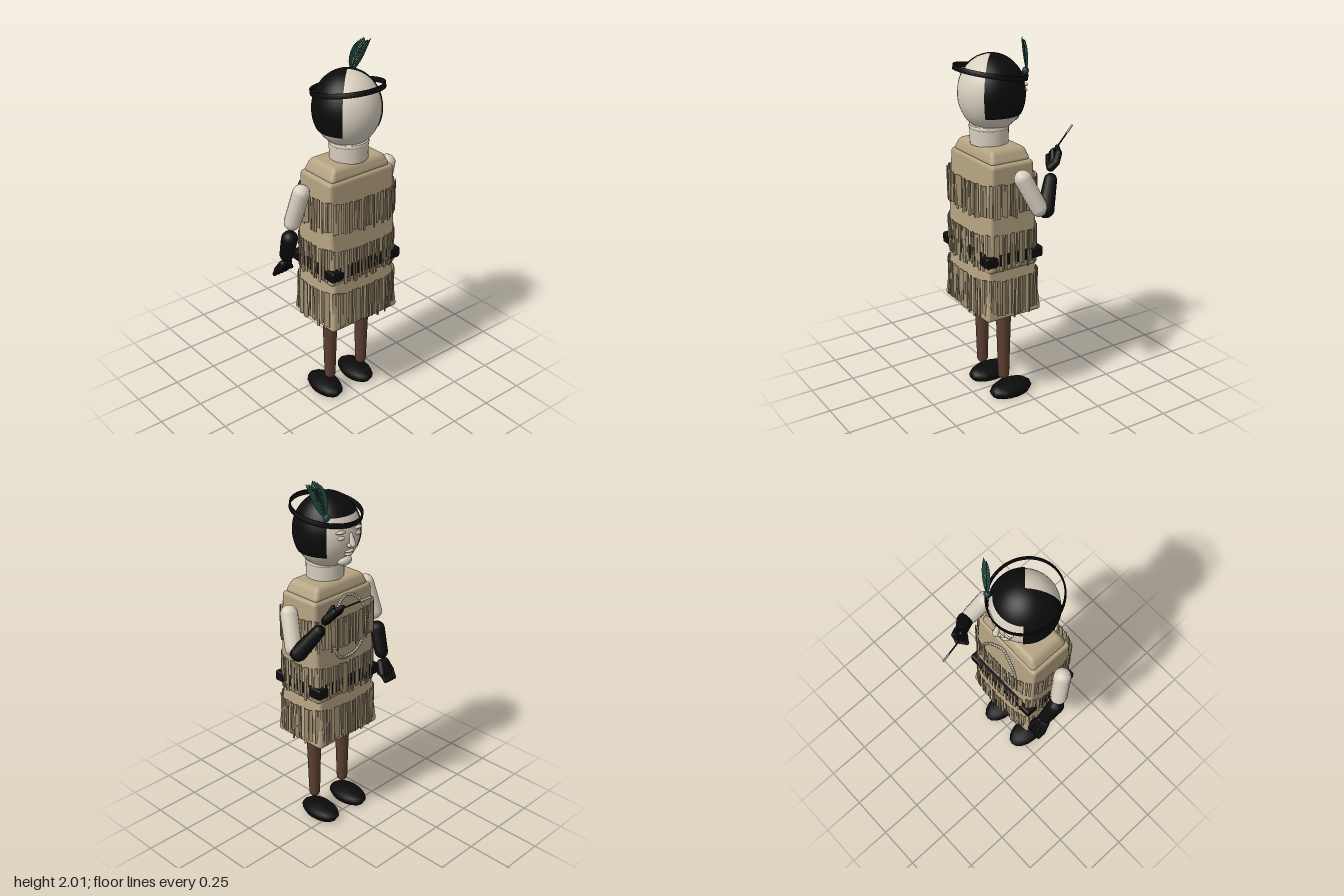
import * as THREE from 'three';
import { mergeGeometries } from 'three/addons/utils/BufferGeometryUtils.js';
import { RoundedBoxGeometry } from 'three/addons/geometries/RoundedBoxGeometry.js';

const V = (x, y, z) => new THREE.Vector3(x, y, z);
const UP = V(0, 1, 0);
const CZ = 0.115; // depth of the body's axis

function makeMaterial(name, color, extra = {}) {
  const m = new THREE.MeshStandardMaterial({ color, ...extra });
  m.name = name;
  return m;
}

function seeded(seed) {
  return () => (seed = (seed * 16807) % 2147483647) / 2147483647;
}

// Rounded box whose half widths change from bottom to top
function taperedBox(y0, y1, bottom, top, radius) {
  const h = y1 - y0;
  const g = new RoundedBoxGeometry(2 * bottom[0], h, 2 * bottom[1], 3, radius);
  const p = g.attributes.position;
  for (let i = 0; i < p.count; i++) {
    const t = p.getY(i) / h + 0.5;
    p.setX(i, p.getX(i) * THREE.MathUtils.lerp(1, top[0] / bottom[0], t));
    p.setZ(i, p.getZ(i) * THREE.MathUtils.lerp(1, top[1] / bottom[1], t));
  }
  g.computeVertexNormals();
  return g.translate(0, y0 + h / 2, CZ);
}

// Round-ended tapered limb from a to b
function limb(a, b, ra, rb, sides = 14) {
  const len = a.distanceTo(b), pts = [];
  for (let i = 0; i <= 5; i++) {
    const t = (i / 5) * Math.PI / 2;
    pts.push(new THREE.Vector2(ra * Math.sin(t), -ra * Math.cos(t)));
  }
  for (let i = 0; i <= 5; i++) {
    const t = (i / 5) * Math.PI / 2;
    pts.push(new THREE.Vector2(rb * Math.cos(t), len + rb * Math.sin(t)));
  }
  const g = new THREE.LatheGeometry(pts, sides);
  g.applyQuaternion(new THREE.Quaternion().setFromUnitVectors(UP, b.clone().sub(a).normalize()));
  return g.translate(a.x, a.y, a.z);
}

const ellipsoid = (c, r, n = 16) =>
  new THREE.SphereGeometry(1, n, n * 0.75).scale(...r).translate(...c);

// Palm, four fingers and a thumb; across is the direction over the knuckles
function handGeometry(wrist, knuckles, tip, across, thumb) {
  const parts = [];
  for (let i = 0; i < 4; i++) {
    const off = across.clone().multiplyScalar((i - 1.5) * 0.023);
    const k = knuckles.clone().add(off);
    parts.push(limb(wrist.clone().addScaledVector(off, 0.5), k, 0.022, 0.019, 8));
    parts.push(limb(k, tip.clone().add(off), 0.016, 0.012, 8));
  }
  parts.push(limb(wrist, thumb, 0.017, 0.013, 8));
  return mergeGeometries(parts);
}

// Hanging strips round a rounded-square outline
function fringeGeometry(top, bottom, hx, hz, seed) {
  const rnd = seeded(seed), strips = [], n = 68;
  const outline = (a) => {
    const c = Math.cos(a), s = Math.sin(a), e = 2 / 3.5;
    return V(Math.sign(c) * Math.abs(c) ** e * hx, 0, Math.sign(s) * Math.abs(s) ** e * hz);
  };
  // Even spacing along the outline
  const curve = new THREE.CatmullRomCurve3(
    Array.from({ length: 64 }, (_, i) => outline(((i + 0.5) / 64) * Math.PI * 2)), true);
  for (let i = 0; i < n; i++) {
    const u = (i + rnd() * 0.5) / n;
    const p = curve.getPointAt(u), t = curve.getTangentAt(u);
    const len = (top - bottom) * (0.84 + rnd() * 0.16);
    const g = new THREE.BoxGeometry(0.01 + rnd() * 0.009, len, 0.004);
    g.rotateX((rnd() - 0.5) * 0.05);
    g.rotateY(Math.atan2(-t.z, t.x) + (rnd() - 0.5) * 0.6);
    strips.push(g.translate(p.x, top - len / 2 - rnd() * 0.008, p.z + CZ));
  }
  return mergeGeometries(strips);
}

// Swept barbs on both sides of a quill
function featherGeometry(curve, across) {
  const pos = [], n = 22;
  for (const side of [-1, 1]) for (let i = 0; i < n; i++) {
    const t = 0.1 + 0.84 * (i / n);
    const w = 0.042 * Math.sin(Math.PI * Math.min(1, t * 0.97)) ** 0.7;
    const a = curve.getPoint(t), b = curve.getPoint(t + 0.028);
    const d = across.clone().multiplyScalar(side * w).add(V(0.006, 0.02, 0.003));
    const c = a.clone().add(d), e = b.clone().add(d).add(V(0.001, 0.004, 0.001));
    for (const v of [a, c, e, a, e, b]) pos.push(v.x, v.y, v.z);
  }
  const g = new THREE.BufferGeometry();
  g.setAttribute('position', new THREE.Float32BufferAttribute(pos, 3));
  g.computeVertexNormals();
  return g;
}

export function createModel() {
  const group = new THREE.Group();
  const skin = makeMaterial('pale skin', 0xd8cfbf);
  const black = makeMaterial('black', 0x0b0b0b, { side: THREE.DoubleSide });
  const tan = makeMaterial('tan dress', 0xb5a382);
  const fringeTan = makeMaterial('fringe tan', 0x9c8d70);
  const brown = makeMaterial('brown legs', 0x5c3e32);
  const teal = makeMaterial('teal feather', 0x1b473f, { side: THREE.DoubleSide });
  const bead = makeMaterial('grey beads', 0xb3afa5);
  const add = (name, geometry, material) => {
    const m = new THREE.Mesh(geometry, material);
    m.name = name;
    group.add(m);
    return m;
  };
  const rad = THREE.MathUtils.degToRad;

  // Dress
  add('skirt', taperedBox(0.53, 0.88, [0.228, 0.17], [0.195, 0.138], 0.02), tan);
  add('torso', taperedBox(0.8, 1.38, [0.218, 0.15], [0.21, 0.125], 0.02), tan);
  add('collar', taperedBox(1.37, 1.445, [0.2, 0.122], [0.165, 0.1], 0.025), tan);
  add('belt', taperedBox(0.84, 0.9, [0.232, 0.174], [0.232, 0.174], 0.012), black);
  add('chestFringe', fringeGeometry(1.29, 1.1, 0.24, 0.187, 11), fringeTan);
  add('waistFringe', fringeGeometry(1.02, 0.815, 0.24, 0.187, 57), fringeTan);
  add('hemFringe', fringeGeometry(0.77, 0.545, 0.25, 0.19, 93), fringeTan);

  // Bead necklace on the chest
  const beads = [];
  for (let i = 0; i < 64; i++) {
    const a = (i / 64) * Math.PI * 2, y = 1.195 + 0.18 * Math.sin(a);
    beads.push(new THREE.SphereGeometry(0.009, 8, 6)
      .translate(0.125 * Math.cos(a), y, -0.028 - 0.025 * Math.abs(Math.cos(a))));
  }
  add('necklace', mergeGeometries(beads), bead);

  // Legs and shoes
  for (const s of [-1, 1]) {
    const side = s < 0 ? 'right' : 'left';
    add(side + 'Leg', limb(V(s * 0.112, 0.132, CZ), V(s * 0.112, 0.56, CZ), 0.031, 0.043, 18), brown);
    const shoe = new THREE.LatheGeometry([[0, 0], [0.87, 0], [1, 0.025], [0.93, 0.045],
      [0.72, 0.065], [0, 0.07]].map(([x, y]) => new THREE.Vector2(x, y)), 16);
    add(side + 'Shoe', shoe.scale(0.077, 1, 0.13).translate(s * 0.112, 0, 0.068), black);
  }

  // Neck and head
  add('neck', new THREE.CylinderGeometry(0.102, 0.1, 0.1, 32).translate(0, 1.49, 0.128), skin);
  add('neckRing', new THREE.TorusGeometry(0.09, 0.015, 10, 32)
    .rotateX(Math.PI / 2).translate(0, 1.53, 0.128), skin);
  add('head', ellipsoid([0, 1.7, 0.113], [0.174, 0.198, 0.174], 40), skin);
  add('nose', mergeGeometries([
    limb(V(0, 1.715, -0.058), V(0, 1.665, -0.073), 0.01, 0.017),
    ellipsoid([0.014, 1.66, -0.063], [0.012, 0.011, 0.014], 10),
    ellipsoid([-0.014, 1.66, -0.063], [0.012, 0.011, 0.014], 10)]), skin);
  add('lips', mergeGeometries([
    ellipsoid([0, 1.623, -0.047], [0.033, 0.009, 0.014], 12),
    ellipsoid([0, 1.606, -0.041], [0.028, 0.01, 0.016], 12)]), skin);
  add('chin', ellipsoid([0, 1.565, -0.012], [0.045, 0.03, 0.035]), skin);
  for (const s of [-1, 1]) {
    add('brow', ellipsoid([s * 0.058, 1.735, -0.046], [0.035, 0.009, 0.014], 12), skin);
    add('eyelid', ellipsoid([s * 0.058, 1.705, -0.048], [0.024, 0.012, 0.012], 12), skin);
  }

  // Hair: a crown open at the back, and a panel down each side
  const hair = (phi, phiLen, theta, thetaLen) => new THREE.SphereGeometry(1, 32, 14,
    rad(90 + phi), rad(phiLen), rad(theta), rad(thetaLen)).scale(0.179, 0.202, 0.179).translate(0, 1.7, 0.113);
  add('hairCrown', hair(47, 266, 0, 58), black);
  add('hairLeft', hair(47, 88, 57, 63), black);
  add('hairRight', hair(225, 88, 57, 63), black);

  // Tilted headband with a feather
  const ring = new THREE.LatheGeometry([[0.178, -0.013], [0.186, -0.013], [0.186, 0.013],
    [0.178, 0.013], [0.178, -0.013]].map(([x, y]) => new THREE.Vector2(x, y)), 48);
  add('headband', ring.scale(1, 1, 1.05).rotateX(-0.19).translate(0, 1.808, 0.117), black);
  const quill = new THREE.CatmullRomCurve3([V(0.125, 1.8, -0.015), V(0.137, 1.87, -0.002),
    V(0.157, 1.94, 0.018), V(0.187, 1.992, 0.045)]);
  add('featherQuill', new THREE.TubeGeometry(quill, 12, 0.003, 6), teal);
  add('featherBarbs', featherGeometry(quill, V(0.93, -0.3, 0.2).normalize()), teal);
  add('featherKnot', ellipsoid([0.124, 1.82, -0.012], [0.017, 0.02, 0.017], 12), teal);

  // Lowered arm
  add('rightUpperArm', limb(V(-0.292, 1.315, 0.11), V(-0.32, 1.145, 0.07), 0.046, 0.045, 12), skin);
  add('rightForearm', limb(V(-0.325, 1.04, 0.05), V(-0.31, 0.92, 0), 0.045, 0.038, 12), black);
  add('rightHand', handGeometry(V(-0.307, 0.86, -0.015), V(-0.303, 0.81, -0.05),
    V(-0.303, 0.775, -0.075), V(1, 0, 0), V(-0.262, 0.815, -0.03)), black);

  // Raised arm holding a wand
  add('leftUpperArm', limb(V(0.283, 1.315, 0.105), V(0.323, 1.16, 0.035), 0.047, 0.045, 12), skin);
  add('leftForearm', limb(V(0.325, 1.145, -0.005), V(0.255, 1.27, -0.082), 0.045, 0.034, 12), black);
  add('leftHand', handGeometry(V(0.232, 1.335, -0.112), V(0.205, 1.365, -0.135),
    V(0.165, 1.385, -0.155), V(0.35, 0.7, -0.6).normalize(), V(0.2, 1.4, -0.13)), black);
  const grip = V(0.182, 1.385, -0.148), tip = V(0.119, 1.488, -0.31);
  const joint = grip.clone().lerp(tip, 0.72);
  add('wand', limb(grip, joint, 0.004, 0.004, 10), black);
  add('wandTip', limb(joint, tip, 0.0055, 0.0055, 10), bead);

  return group;
}
